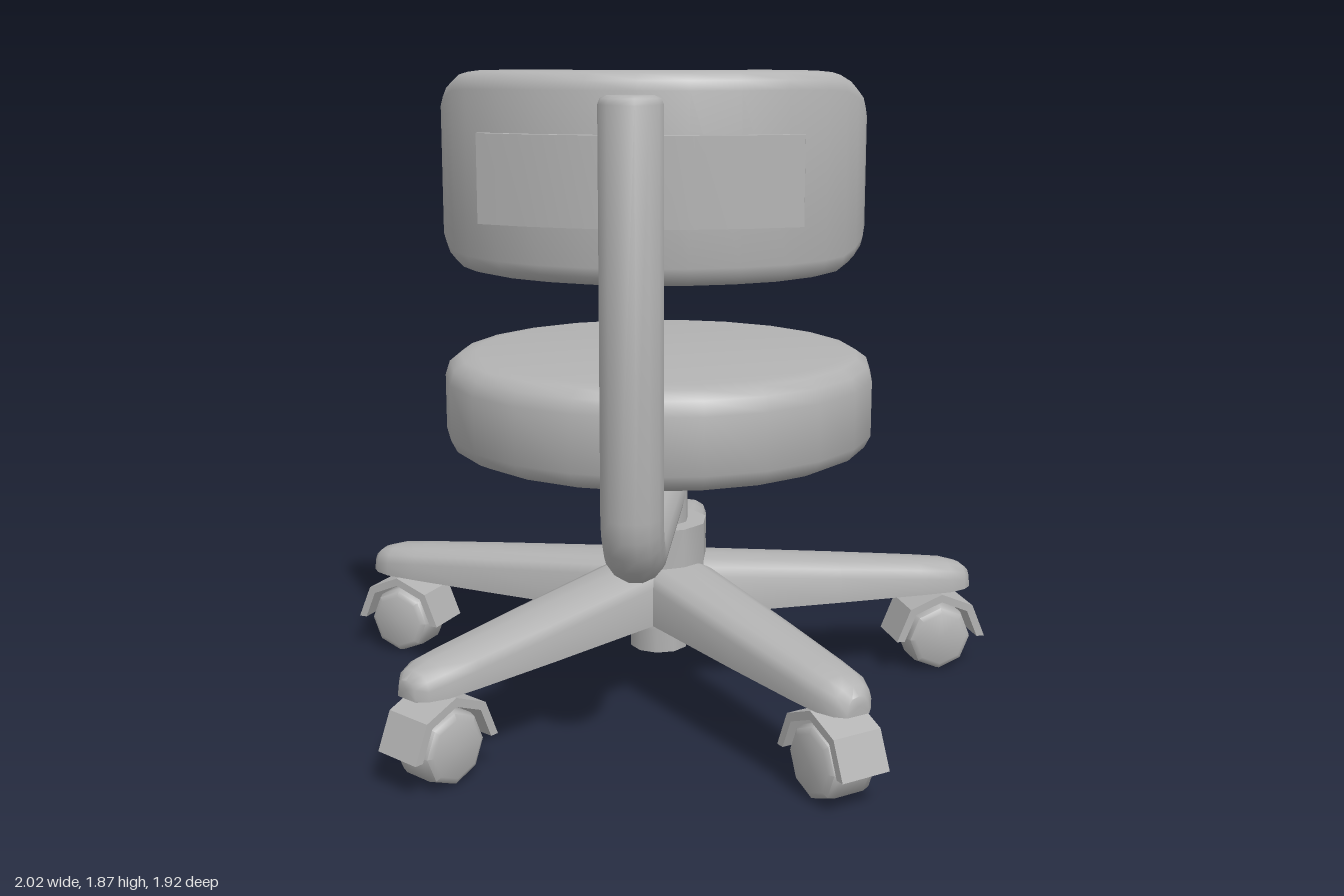
import * as THREE from 'three';
import { toCreasedNormals } from 'three/addons/utils/BufferGeometryUtils.js';

const CZ = 0.08; // z of the column axis
const grey = new THREE.MeshStandardMaterial({ color: 0xb3b3b3 });
grey.name = 'grey';

function part(name, geometry, crease = 0.9) {
  const mesh = new THREE.Mesh(toCreasedNormals(geometry, crease), grey);
  mesh.name = name;
  return mesh;
}

// Skin a list of closed rings (counter-clockwise about the travel direction) and cap both ends
function loft(rings) {
  const n = rings[0].length, pos = [], idx = [];
  rings.forEach(r => r.forEach(p => pos.push(...p)));
  for (let i = 0; i < rings.length - 1; i++) {
    for (let j = 0; j < n; j++) {
      const a = i * n + j, b = i * n + (j + 1) % n;
      idx.push(a, b, b + n, a, b + n, a + n);
    }
  }
  [0, rings.length - 1].forEach((i, end) => {
    const c = pos.length / 3;
    pos.push(...[0, 1, 2].map(k => rings[i].reduce((s, p) => s + p[k], 0) / n));
    for (let j = 0; j < n; j++) {
      const a = i * n + j, b = i * n + (j + 1) % n;
      idx.push(c, end ? a : b, end ? b : a);
    }
  });
  const g = new THREE.BufferGeometry();
  g.setAttribute('position', new THREE.Float32BufferAttribute(pos, 3));
  g.setIndex(idx);
  return g;
}

const lathe = (points, sides) =>
  new THREE.LatheGeometry(points.map(p => new THREE.Vector2(...p)), sides);

// Star-base leg: flat bottom, domed top, tapering to a rounded tip
function legGeometry() {
  const stations = [ // distance, half width, top height
    [0, 0.115, 0.43], [0.14, 0.112, 0.42], [0.55, 0.1, 0.382], [0.82, 0.088, 0.356],
    [0.92, 0.08, 0.345], [0.97, 0.06, 0.332], [0.995, 0.035, 0.312],
  ];
  return loft(stations.map(([s, w, t]) => {
    const half = [[1, 0.26], [1, t - 0.045], [0.88, t - 0.02], [0.55, t - 0.004]];
    const right = half.map(([k, y]) => [k * w, y, s]);
    const left = half.map(([k, y]) => [-k * w, y, s]).reverse();
    return [...right, [0, t, s], ...left];
  }));
}

// Caster: bevelled wheel under an angular arched fender
function caster() {
  const g = new THREE.Group();
  g.name = 'caster';
  const wheel = lathe([[0, -0.075], [0.082, -0.075], [0.098, -0.066], [0.105, -0.045],
    [0.105, 0.045], [0.098, 0.066], [0.082, 0.075], [0, 0.075]], 8);
  wheel.rotateZ(Math.PI / 2);
  const shape = new THREE.Shape();
  for (let i = 0; i <= 4; i++) {
    const a = i * Math.PI / 4;
    shape[i ? 'lineTo' : 'moveTo'](0.145 * Math.cos(a), 0.145 * Math.sin(a));
  }
  for (let i = 4; i >= 0; i--) {
    const a = i * Math.PI / 4;
    shape.lineTo(0.12 * Math.cos(a), 0.12 * Math.sin(a));
  }
  const fender = new THREE.ExtrudeGeometry(shape, { depth: 0.15, bevelEnabled: false });
  fender.translate(0, 0, -0.075);
  fender.rotateY(Math.PI / 2);
  g.add(part('wheel', wheel, 0.85), part('fender', fender, 0.3));
  g.position.set(0, 0.107, 0.89);
  return g;
}

// Bent support arm: runs forward from the column, then up behind the backrest
function armGeometry() {
  const r = 0.082, stations = [[0.13, 0.62, 0, r]]; // z, y, heading, radius
  for (let i = 0; i <= 6; i++) {
    const a = i / 6 * Math.PI / 2;
    stations.push([0.685 + 0.13 * Math.sin(a), 0.75 - 0.13 * Math.cos(a), a, r]);
  }
  stations.push([0.815, 1.79, Math.PI / 2, r], [0.815, 1.805, Math.PI / 2, 0.076],
    [0.815, 1.812, Math.PI / 2, 0.06]);
  return loft(stations.map(([z, y, a, rad]) => Array.from({ length: 14 }, (_, j) => {
    const t = j / 14 * Math.PI * 2, v = rad * Math.sin(t);
    return [rad * Math.cos(t), y + v * Math.cos(a), z - v * Math.sin(a)];
  })));
}

// Backrest pad: rounded section swept around an arc, shrinking at both ends
function backrestGeometry() {
  const half = [[0, 0.275, 0.08], [12, 0.275, 0.08], [24, 0.275, 0.08], [36, 0.275, 0.08],
    [48, 0.273, 0.08], [55, 0.268, 0.08], [60, 0.25, 0.08], [64, 0.225, 0.078],
    [67.5, 0.195, 0.066], [69.5, 0.17, 0.042]]; // degrees, half height, half thickness
  const stations = [...half.slice(1).reverse().map(([a, h, t]) => [-a, h, t]), ...half];
  return loft(stations.map(([deg, h, t]) => {
    const a = deg * Math.PI / 180, b = Math.min(0.05, t * 0.7), ring = [];
    [[1, 1], [-1, 1], [-1, -1], [1, -1]].forEach(([sy, sr], q) => {
      for (let k = 0; k < 4; k++) {
        const c = (q + k / 3) * Math.PI / 2;
        const y = sy * (h - b) + b * Math.cos(c);
        const rad = 0.61 + sr * (t - b) + b * Math.sin(c) - 0.04;
        ring.push([rad * Math.sin(a), 1.595 + y, 0.04 + rad * Math.cos(a)]);
      }
    });
    return ring;
  }));
}

// Curved plate between the backrest and the arm
function plateGeometry() {
  const shape = new THREE.Shape(), xs = [-0.425, -0.29, -0.15, 0, 0.15, 0.29, 0.425];
  const z = x => 0.725 - 0.58 * x * x;
  xs.forEach((x, i) => shape[i ? 'lineTo' : 'moveTo'](x, -z(x)));
  [...xs].reverse().forEach(x => shape.lineTo(x, -z(x) + 0.032));
  const g = new THREE.ExtrudeGeometry(shape, { depth: 0.235, bevelEnabled: false });
  g.rotateX(-Math.PI / 2);
  g.translate(0, 1.475, 0);
  return g;
}

export function createModel() {
  const model = new THREE.Group();
  model.name = 'swivelChair';

  // Everything that turns about the column
  const core = new THREE.Group();
  core.name = 'seatAndBase';
  core.position.z = CZ;
  core.add(
    part('seat', lathe([[0, 0.775], [0.58, 0.775], [0.612, 0.79], [0.63, 0.825], [0.63, 0.985],
      [0.617, 1.025], [0.585, 1.048], [0.54, 1.055], [0, 1.055]], 22)),
    part('seatPlate', lathe([[0, 0.71], [0.3, 0.71], [0.455, 0.748], [0.455, 0.78], [0, 0.78]], 20), 0.4),
    part('column', lathe([[0, 0.14], [0.088, 0.14], [0.088, 0.72], [0, 0.72]], 10)),
    part('hub', lathe([[0, 0.235], [0.144, 0.235], [0.144, 0.535], [0, 0.535]], 10)),
  );
  for (let i = 0; i < 5; i++) {
    const spoke = new THREE.Group();
    spoke.name = 'baseSpoke';
    spoke.rotation.y = Math.PI + i * Math.PI * 2 / 5;
    spoke.add(part('leg', legGeometry()), caster());
    core.add(spoke);
  }
  model.add(core);

  model.add(
    part('supportArm', armGeometry()),
    part('backrest', backrestGeometry()),
    part('backrestPlate', plateGeometry(), 0.5),
  );
  return model;
}
